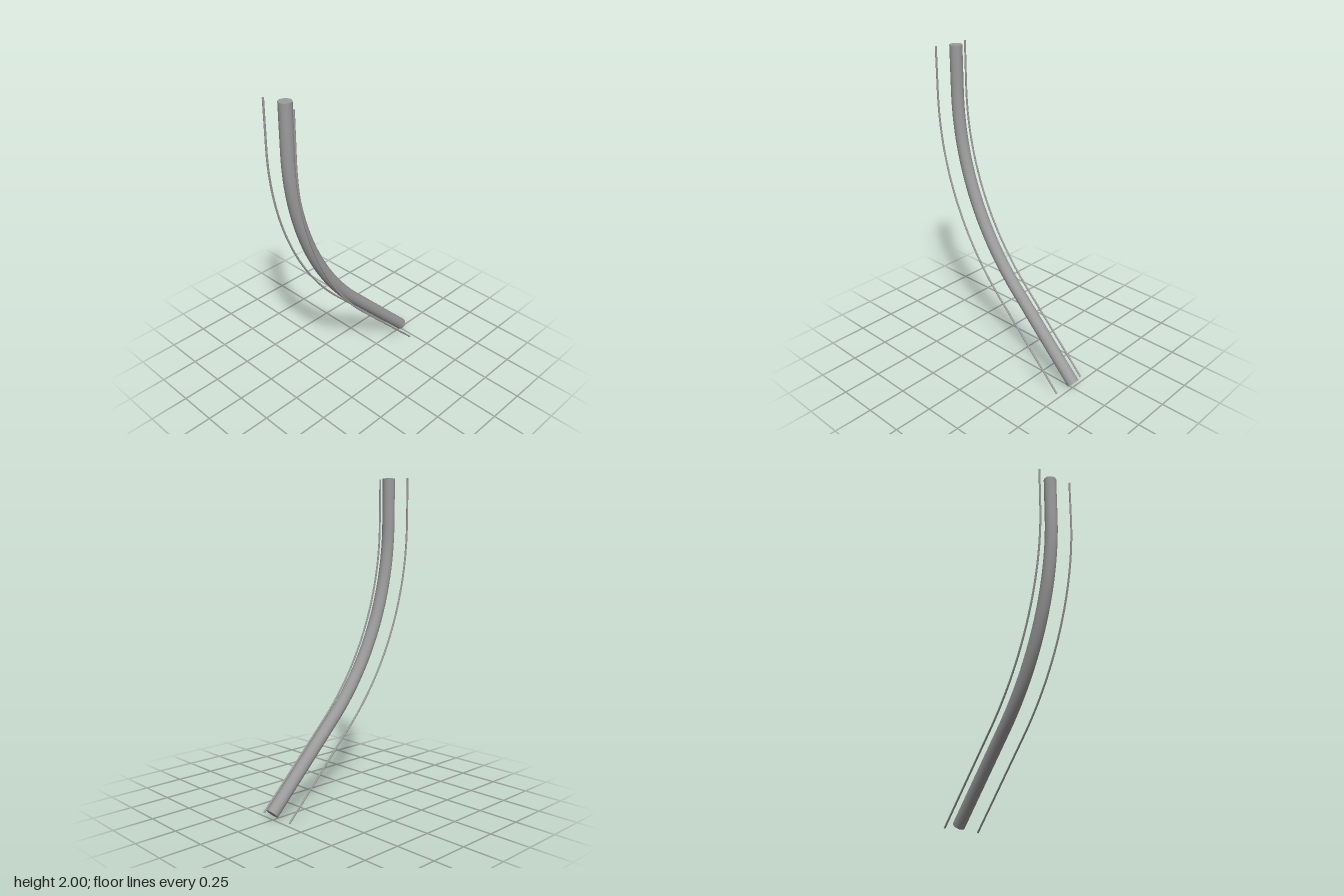
import * as THREE from 'three';

const TOP_Y = 2, BEND_Y = 1.72, BEND_R = 1.70, BEND = Math.PI / 4;
const PIPE_Z = 0.476, LOWER = 0.68;

// Side profile: straight drop, 45 degree bend, straight slope.
// "offset" shifts it forward, parallel to the pipe's centre line.
class BentLine extends THREE.Curve {
  constructor(x, offset) {
    super();
    this.x = x;
    this.offset = offset;
  }
  getPoint(t, target = new THREE.Vector3()) {
    const r = BEND_R + this.offset;
    const upper = TOP_Y - BEND_Y, arc = r * BEND;
    const s = t * (upper + arc + LOWER);
    const a = THREE.MathUtils.clamp((s - upper) / r, 0, BEND);
    const drop = Math.min(s, upper);
    const tail = Math.max(0, s - upper - arc);
    return target.set(
      this.x,
      TOP_Y - drop - r * Math.sin(a) - tail * Math.sin(BEND),
      PIPE_Z - BEND_R + r * Math.cos(a) - tail * Math.cos(BEND)
    );
  }
}

// Solid round bar along a curve, closed with a disc at each end
function bar(name, curve, radius, sides, material) {
  const group = new THREE.Group();
  group.name = name;
  const body = new THREE.Mesh(new THREE.TubeGeometry(curve, 72, radius, sides), material);
  body.name = name + 'Body';
  group.add(body);
  for (const [t, sign, label] of [[0, -1, 'TopCap'], [1, 1, 'BottomCap']]) {
    const cap = new THREE.Mesh(new THREE.CircleGeometry(radius, sides), material);
    cap.name = name + label;
    cap.position.copy(curve.getPoint(t));
    const out = curve.getTangent(t).multiplyScalar(sign);
    cap.quaternion.setFromUnitVectors(new THREE.Vector3(0, 0, 1), out);
    group.add(cap);
  }
  return group;
}

export function createModel() {
  const model = new THREE.Group();
  model.name = 'bentPipeWithRods';
  const material = new THREE.MeshStandardMaterial({ color: 0x9c9c9c });

  // Thick central pipe
  model.add(bar('pipe', new BentLine(0, 0), 0.039, 32, material));

  // Thin rods on either side, slightly in front of the pipe
  for (const [name, side] of [['leftRod', 1], ['rightRod', -1]]) {
    model.add(bar(name, new BentLine(side * 0.117, 0.046), 0.006, 12, material));
  }
  return model;
}
